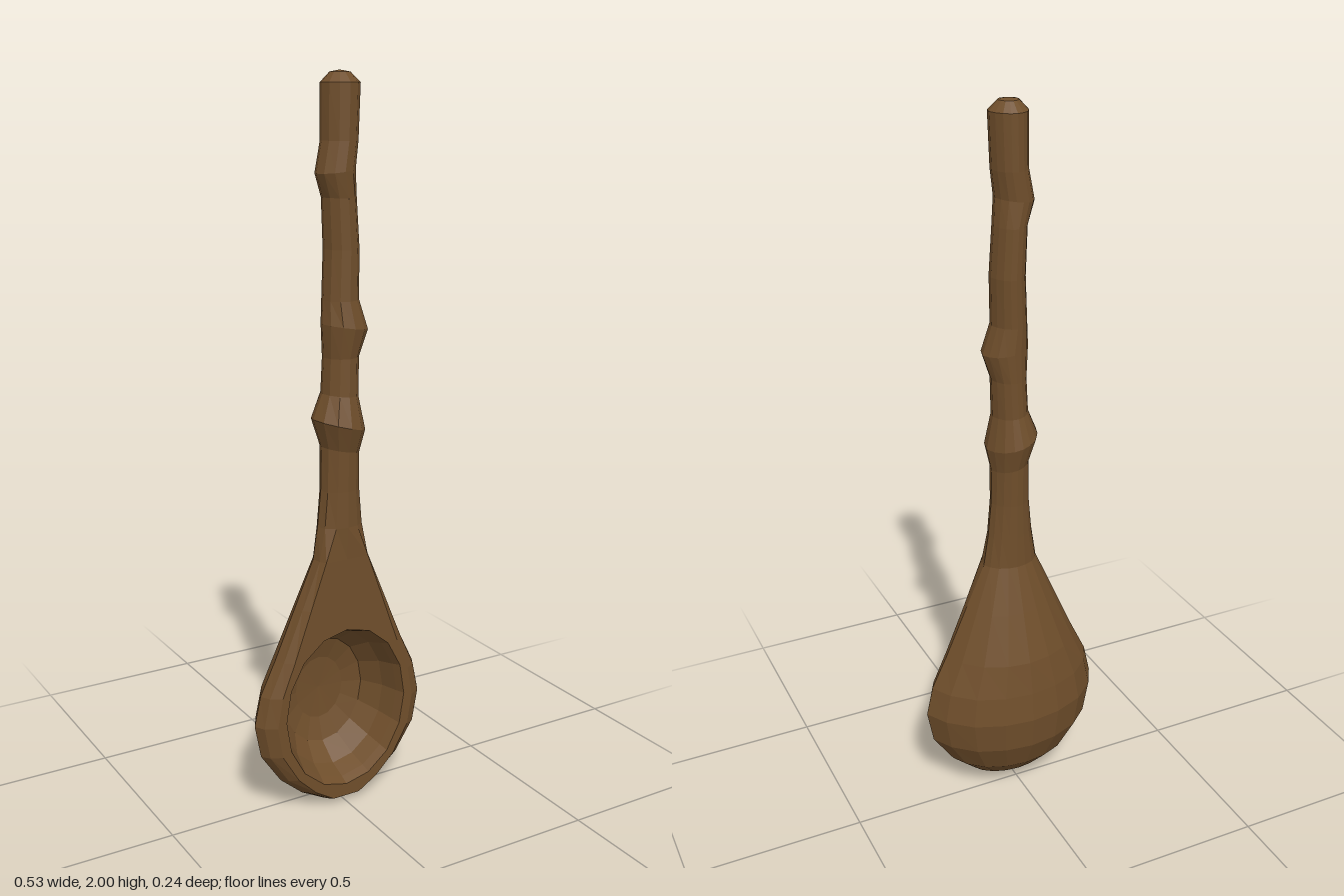
import * as THREE from 'three';

const wood = new THREE.MeshStandardMaterial({ color: 0x6f4e2b, flatShading: true });
wood.name = 'brown wood';

const AXIS_Z = 0.04; // depth of the widest line of the spoon

// Half of the back contour, from the side to the middle of the back
const back = [[0.869, -0.38], [0.629, -0.73], [0.318, -0.93]];
// Front corner, flat for the bowl and round for the handle
const flatFront = [[0.94, 0.6], [0.82, 1]];
const roundFront = [[0.87, 0.5], [0.5, 0.87]];

// One horizontal section: 14 points running from +x over the front, -x and the back
function section({ y, cx = 0, cz = AXIS_Z, rx, front, rear, round = false, tilt = 0 }) {
  const corner = round ? roundFront : flatFront;
  const mirror = (pts) => pts.map(([x, z]) => [-x, z]).reverse();
  const unit = [
    [1, 0], ...corner, [0, 1], ...mirror(corner),
    [-1, 0], ...back.map(([x, z]) => [-x, z]), [0, -1], ...back.slice().reverse(),
  ];
  return unit.map(([x, z]) => {
    const depth = z > 0 ? front : rear;
    // the front edge of the bowl tip is bevelled upward
    const lift = z > 0 ? Math.max(0, 0.28 - y) * 1.3 * front * z : 0;
    return new THREE.Vector3(cx + x * rx, y + lift + tilt * x * rx, cz + z * depth);
  });
}

// Skin between consecutive closed rings; keep() may leave faces out
function loft(rings, keep = () => true) {
  const n = rings[0].length;
  const index = [];
  for (let i = 0; i < rings.length - 1; i++) {
    for (let j = 0; j < n; j++) {
      if (!keep(i, j)) continue;
      const a = i * n + j, b = i * n + ((j + 1) % n);
      index.push(a, a + n, b + n, a, b + n, b);
    }
  }
  const geo = new THREE.BufferGeometry().setFromPoints(rings.flat());
  geo.setIndex(index);
  geo.computeVertexNormals();
  return geo;
}

function add(group, name, geometry) {
  const mesh = new THREE.Mesh(geometry, wood);
  mesh.name = name;
  group.add(mesh);
}

export function createModel() {
  const group = new THREE.Group();
  group.name = 'woodenSpoon';

  // Bowl sections: height, half width, depth behind the widest line
  const bowl = [
    [0.003, 0.05, 0.012], [0.04, 0.12, 0.06], [0.097, 0.187, 0.112], [0.185, 0.247, 0.15],
    [0.28, 0.265, 0.16], [0.365, 0.246, 0.15], [0.46, 0.2, 0.133], [0.6, 0.138, 0.09],
    [0.73, 0.08, 0.05],
  ].map(([y, rx, rear]) => section({ y, rx, rear, front: 0.046 }));
  const tip = section({ y: 0, rx: 0, rear: 0, front: 0 });

  // Bowl shell, open where the flat front face sits
  add(group, 'bowlShell', loft([tip, ...bowl], (i, j) => i === 0 || (j !== 2 && j !== 3)));

  // Hollow of the bowl
  const SIDES = 16;
  const oval = (scale, z) => Array.from({ length: SIDES }, (_, k) => {
    const t = (k / SIDES) * Math.PI * 2;
    return new THREE.Vector3(
      0.19 * scale * Math.cos(t), 0.29 + 0.235 * scale * Math.sin(t), z);
  });
  const frontZ = AXIS_Z + 0.046;
  const rim = oval(1, frontZ);
  add(group, 'bowlHollow', loft([
    oval(0, -0.075), oval(0.4, -0.07), oval(0.68, -0.05), oval(0.87, 0.01), oval(0.95, 0.06), rim,
  ]));

  // Flat front face around the hollow
  const outline = [...bowl.map((r) => r[2]), ...bowl.map((r) => r[4]).reverse()];
  const face = new THREE.Shape(outline.map((p) => new THREE.Vector2(p.x, p.y)));
  face.holes.push(new THREE.Path(rim.map((p) => new THREE.Vector2(p.x, p.y)).reverse()));
  add(group, 'bowlRim', new THREE.ShapeGeometry(face).translate(0, 0, frontZ));

  // Knotty handle: height, x, z, half width, half depth, tilt
  const handle = [
    [0.82, 0, 0.04, 0.066, 0.05, 0], [0.92, 0, 0.04, 0.056, 0.05, 0],
    [1.03, 0, 0.04, 0.054, 0.054, -0.2], [1.1, -0.007, 0.043, 0.073, 0.077, -0.25],
    [1.18, -0.002, 0.042, 0.05, 0.056, -0.1], [1.28, 0.002, 0.041, 0.049, 0.053, 0],
    [1.36, 0.009, 0.048, 0.064, 0.061, -0.15], [1.43, 0, 0.042, 0.049, 0.054, 0],
    [1.56, 0.005, 0.038, 0.047, 0.054, 0], [1.69, -0.002, 0.038, 0.045, 0.053, 0],
    [1.755, -0.016, 0.043, 0.053, 0.055, 0.1], [1.83, -0.003, 0.041, 0.049, 0.053, 0],
    [1.97, 0, 0.041, 0.052, 0.053, 0], [1.995, 0, 0.041, 0.027, 0.027, 0],
    [2.0, 0, 0.041, 0, 0, 0],
  ].map(([y, cx, cz, rx, r, tilt]) =>
    section({ y, cx, cz, rx, front: r, rear: r, round: true, tilt }));
  add(group, 'handle', loft([bowl[bowl.length - 1], ...handle]));

  return group;
}
